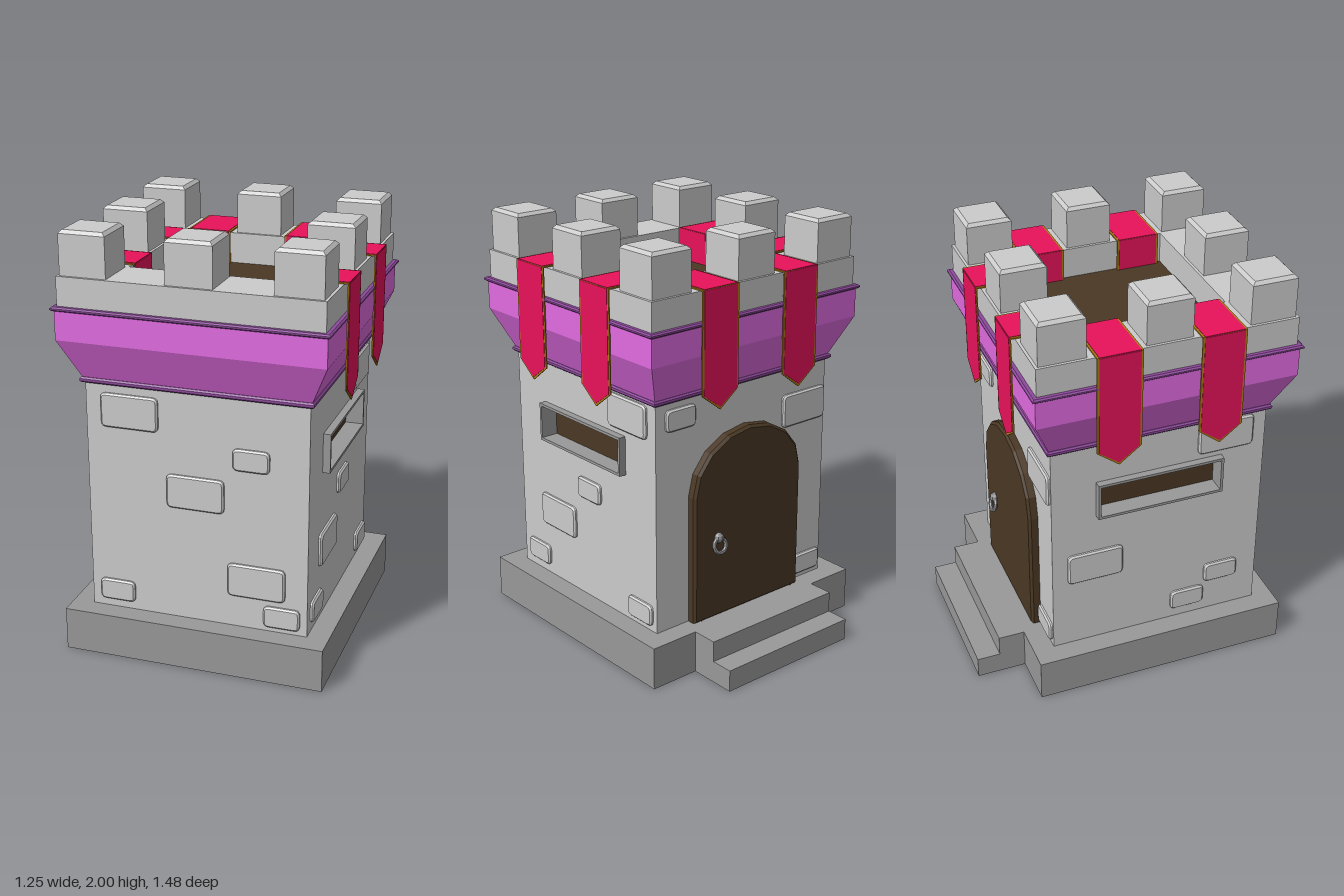
import * as THREE from 'three';

const mat = (color) => new THREE.MeshStandardMaterial({ color, flatShading: true });
const stone = mat(0xcccccc), darkStone = mat(0x999999), purple = mat(0xe26ce2), violet = mat(0x8d499b);
const red = mat(0xe8125a), gold = mat(0xb07a14), wood = mat(0x9a6425), darkWood = mat(0x4a3824), iron = mat(0x88888c);

function add(parent, name, geo, material, x = 0, y = 0, z = 0) {
  const m = new THREE.Mesh(geo, material);
  m.name = name;
  m.position.set(x, y, z);
  parent.add(m);
  return m;
}
const box = (w, h, d) => new THREE.BoxGeometry(w, h, d);

// Square tower section: profile of [half width, height]
function square(profile) {
  const pts = profile.map(([r, y]) => new THREE.Vector2(r * Math.SQRT2, y));
  return new THREE.LatheGeometry(pts, 4, Math.PI / 4);
}

const poly = (pts) => new THREE.Shape(pts.map(([x, y]) => new THREE.Vector2(x, y)));
const rect = (hw, y0, y1) => poly([[-hw, y0], [hw, y0], [hw, y1], [-hw, y1]]);

function extrude(shape, depth, bevel = 0, curveSegments = 4) {
  return new THREE.ExtrudeGeometry(shape, {
    depth, curveSegments, bevelEnabled: bevel > 0, bevelSize: bevel,
    bevelThickness: bevel, bevelOffset: -bevel, bevelSegments: 1,
  });
}

// Arched outline standing on y0
function arch(hw, y0, spring, top) {
  const pts = [[-hw, y0], [hw, y0]];
  for (let i = 0; i <= 8; i++) {
    const a = (i / 8) * Math.PI;
    pts.push([hw * Math.cos(a), spring + (top - spring) * Math.sin(a)]);
  }
  return poly(pts);
}

// Raised stone with rounded corners
function brick(w, h) {
  const s = new THREE.Shape(), x = w / 2, y = h / 2, r = 0.025;
  s.moveTo(-x + r, -y);
  s.lineTo(x - r, -y); s.quadraticCurveTo(x, -y, x, -y + r);
  s.lineTo(x, y - r); s.quadraticCurveTo(x, y, x - r, y);
  s.lineTo(-x + r, y); s.quadraticCurveTo(-x, y, -x, y - r);
  s.lineTo(-x, -y + r); s.quadraticCurveTo(-x, -y, -x + r, -y);
  return extrude(s, 0.012, 0.008, 3);
}

// Cloth folded over the parapet, facing local +z
function banner(parent, u) {
  const g = new THREE.Group();
  g.name = 'banner';
  g.position.x = u;
  parent.add(g);
  for (const [name, hw, t, tip, m] of [['bannerTrim', 0.104, 0.006, 1.255, gold], ['bannerCloth', 0.094, 0.01, 1.268, red]]) {
    const hang = poly([[-hw, 1.335], [0, tip], [hw, 1.335], [hw, 1.806], [-hw, 1.806]]);
    add(g, name + 'Hang', extrude(hang, t), m, 0, 0, 0.621 - t / 2);
    add(g, name + 'Top', box(hw * 2, t, 0.281), m, 0, 1.806, 0.4835);
    add(g, name + 'Inner', box(hw * 2, 0.156, t), m, 0, 1.73, 0.346);
  }
}

function buildDoor(back) {
  const door = new THREE.Group();
  door.name = 'door';
  door.position.z = 0.5175;
  back.add(door);
  const frame = arch(0.33, 0.2, 0.83, 1.105);
  frame.holes.push(arch(0.275, 0.2, 0.82, 1.045));
  add(door, 'doorFrame', extrude(frame, 0.033, 0.012), darkWood);
  add(door, 'doorPanel', extrude(arch(0.28, 0.2, 0.82, 1.05), 0.018), wood);
  for (const y of [0.34, 0.73]) add(door, 'doorBand', box(0.48, 0.085, 0.03), iron, 0, y, 0.018);
  // Latch plate with knob and pull ring
  const plate = add(door, 'latchPlate', new THREE.CylinderGeometry(0.06, 0.065, 0.02, 8), iron, -0.19, 0.575, 0.028);
  plate.rotation.x = Math.PI / 2;
  add(door, 'latchKnob', new THREE.SphereGeometry(0.025, 8, 6), iron, -0.19, 0.605, 0.05);
  const ring = add(door, 'pullRing', new THREE.TorusGeometry(0.035, 0.01, 6, 12), iron, -0.19, 0.57, 0.06);
  ring.rotation.x = -0.25;
}

function buildWindow(wall) {
  const frame = rect(0.305, 0.92, 1.105);
  frame.holes.push(rect(0.292, 0.933, 1.092));
  add(wall, 'windowFrame', extrude(frame, 0.1), darkStone, 0, 0, 0.452);
  add(wall, 'windowPane', box(0.6, 0.18, 0.01), darkWood, 0, 1.0125, 0.462);
}

export function createModel() {
  const model = new THREE.Group();
  model.name = 'castleTower';
  const tower = new THREE.Group();
  tower.name = 'tower';
  tower.position.z = 0.1175;
  model.add(tower);

  add(tower, 'base', box(1.235, 0.205, 1.235), darkStone, 0, 0.1025, 0);

  // Body pierced by the side windows
  const side = rect(0.5175, 0.2, 1.32);
  side.holes.push(rect(0.3, 0.925, 1.1));
  const body = add(tower, 'body', extrude(side, 1.035), stone, -0.5175);
  body.rotation.y = Math.PI / 2;

  // Flared collar and its trims
  add(tower, 'lowerTrim', square([[0.5, 1.305], [0.53, 1.305], [0.537, 1.312], [0.537, 1.323], [0.53, 1.33], [0.5, 1.33]]), violet);
  add(tower, 'collar', square([[0.5, 1.325], [0.525, 1.325], [0.61, 1.515], [0.61, 1.652], [0.5, 1.652]]), purple);
  add(tower, 'upperTrim', square([[0.58, 1.648], [0.616, 1.648], [0.624, 1.654], [0.624, 1.661], [0.616, 1.667], [0.58, 1.667]]), violet);

  // Parapet, roof floor and merlons
  add(tower, 'parapet', square([[0.6, 1.65], [0.6, 1.8], [0.36, 1.8], [0.36, 1.645]]), stone);
  add(tower, 'roofFloor', box(0.76, 0.02, 0.76), darkWood, 0, 1.645, 0);
  const merlon = square([[0.107, 1.795], [0.107, 1.985], [0.092, 2], [0, 2]]);
  for (const i of [-1, 0, 1]) for (const j of [-1, 0, 1]) {
    if (i || j) add(tower, 'merlon', merlon, stone, i * 0.48, 0, j * 0.48);
  }

  // Raised stones per wall: [across, height, large]
  const walls = {
    front: [0, [[-0.31, 1.185, 1], [0.255, 1.025, 0], [-0.005, 0.835, 1], [0.28, 0.44, 1], [-0.39, 0.295, 0], [0.4, 0.28, 0]]],
    leftSide: [Math.PI / 2, [[0.327, 1.212, 1], [0.037, 0.758, 0], [-0.212, 0.55, 1], [-0.383, 0.3, 0], [0.407, 0.283, 0]]],
    rightSide: [-Math.PI / 2, [[0.32, 1.215, 1], [-0.31, 0.645, 1], [0.16, 0.31, 0], [0.33, 0.43, 0]]],
    back: [Math.PI, [[-0.38, 1.22, 0], [0.375, 1.1, 1], [0.42, 0.28, 0]]],
  };
  for (const [name, [turn, stones]] of Object.entries(walls)) {
    const wall = new THREE.Group();
    wall.name = name + 'Wall';
    wall.rotation.y = turn;
    tower.add(wall);
    for (const [u, y, large] of stones) {
      add(wall, 'raisedStone', large ? brick(0.27, 0.16) : brick(0.17, 0.103), stone, u, y, 0.514);
    }
    if (name !== 'front') for (const s of [-1, 1]) banner(wall, s * 0.238);
    if (name.endsWith('Side')) buildWindow(wall);
    if (name === 'back') {
      buildDoor(wall);
      add(wall, 'upperStep', box(0.745, 0.205, 0.125), darkStone, 0, 0.1025, 0.68);
      add(wall, 'lowerStep', box(0.745, 0.105, 0.11), darkStone, 0, 0.0525, 0.7975);
    }
  }
  return model;
}
